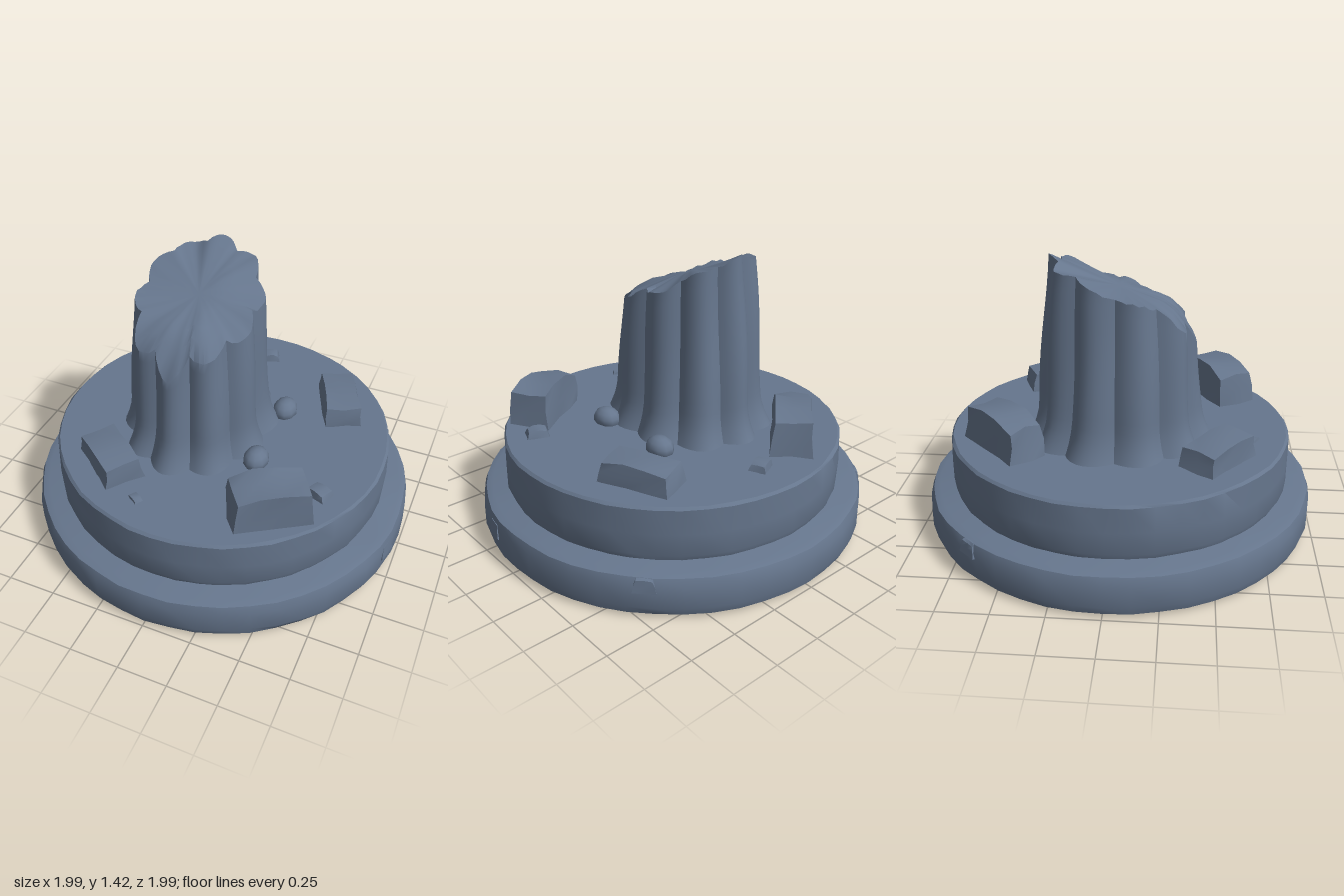
import * as THREE from 'three';
import { mergeVertices, toCreasedNormals } from 'three/addons/utils/BufferGeometryUtils.js';

const stone = new THREE.MeshStandardMaterial({ color: 0x66768d });
stone.name = 'slate stone';

// Repeatable value in -1..1 for a point, so shared corners move together
const hash = (x, y, z) => {
  const s = Math.sin(x * 12.99 + y * 78.23 + z * 37.72) * 4375.85;
  return (s - Math.floor(s)) * 2 - 1;
};

function addMesh(parent, name, geometry, crease = 0.6) {
  const mesh = new THREE.Mesh(toCreasedNormals(geometry, crease), stone);
  mesh.name = name;
  parent.add(mesh);
  return mesh;
}

// Worn round slab: lathe with a slightly chipped outer edge
function slab(profile, seed) {
  const geo = new THREE.LatheGeometry(profile.map(([r, y]) => new THREE.Vector2(r, y)), 48);
  geo.deleteAttribute('uv');
  geo.deleteAttribute('normal');
  const g = mergeVertices(geo, 1e-4);
  const p = g.attributes.position;
  for (let i = 0; i < p.count; i++) {
    const x = p.getX(i), y = p.getY(i), z = p.getZ(i);
    if (Math.hypot(x, z) < 0.8) continue;
    const k = 1 - 0.004 * (1 + hash(x, y + seed, z));
    p.setXYZ(i, x * k, y, z * k);
  }
  return g;
}

// Slanting broken top of the column
const breakHeight = (x, z) =>
  1.29 - 0.36 * z - 0.3 * Math.max(0, x + 0.05) - 4.3 * Math.max(0, z - 0.2) ** 2;

// Column radius by height, flaring at the foot
function columnRadius(y) {
  const flare = Math.max(0, 0.66 - y);
  return 0.358 - 0.075 * (y - 0.6) + 1.3 * flare * flare;
}

function column() {
  const flutes = 10, n = flutes * 8, rows = 14, capRings = 5;
  const cx = -0.125, cz = 0.01, pos = [], idx = [];
  const point = (a, y) => {
    const lobe = Math.abs(Math.sin(a * flutes / 2));
    const r = columnRadius(y) * (1 - 0.13 * (1 - lobe)) + 0.006 * Math.sin(3 * a + 7 * y);
    return [cx + r * Math.cos(a), cz + r * 1.16 * Math.sin(a)];
  };
  const rim = [];
  for (let j = 0; j < n; j++) {
    const a = j / n * Math.PI * 2;
    let y = 1.25;
    for (let k = 0; k < 3; k++) y = breakHeight(...point(a, y));
    rim.push(y + 0.012 * Math.sin(a * 7 + 1) + 0.008 * hash(j, 1, 2));
  }
  // Fluted side
  for (let i = 0; i <= rows; i++) {
    for (let j = 0; j < n; j++) {
      const a = j / n * Math.PI * 2;
      const y = 0.48 + (rim[j] - 0.48) * (i / rows) ** 1.25;
      const [x, z] = point(a, y);
      pos.push(x, y, z);
    }
  }
  // Broken face, as shrinking rings
  for (let i = 1; i <= capRings; i++) {
    const s = 1 - i / capRings;
    for (let j = 0; j < n; j++) {
      const a = j / n * Math.PI * 2;
      const [ex, ez] = point(a, rim[j]);
      const x = cx + (ex - cx) * s, z = cz + (ez - cz) * s;
      const y = breakHeight(x, z) + (rim[j] - breakHeight(ex, ez)) * s * s - 0.015 * (1 - s);
      pos.push(x, y, z);
    }
  }
  for (let i = 0; i < rows + capRings; i++) {
    for (let j = 0; j < n; j++) {
      const a = i * n + j, b = i * n + (j + 1) % n;
      idx.push(a, a + n, b);
      if (i < rows + capRings - 1) idx.push(b, a + n, b + n);
    }
  }
  const g = new THREE.BufferGeometry();
  g.setAttribute('position', new THREE.Float32BufferAttribute(pos, 3));
  g.setIndex(idx);
  return g;
}

// Rough block: narrowed, jittered box resting on the plinth
function rock(w, h, d, seed, taper = 0.88) {
  const g = new THREE.BoxGeometry(1, 1, 1, 3, 2, 2);
  const p = g.attributes.position;
  for (let i = 0; i < p.count; i++) {
    const x = p.getX(i), y = p.getY(i), z = p.getZ(i);
    const up = y + 0.5, k = 1 - (1 - taper) * up;
    const corner = Math.abs(x) > 0.45 && up > 0.9 ? 0.18 : 0;
    p.setXYZ(i,
      w * k * (x + 0.03 * hash(x + seed, y, z)),
      h * (up - corner * (0.6 + 0.5 * hash(x, seed, 3)) + 0.06 * up * hash(x, y, z + seed)),
      d * k * (z + 0.04 * hash(x, y + seed, z)));
  }
  return g;
}

export function createModel() {
  const group = new THREE.Group();
  group.name = 'ruined column';

  // Stepped round plinth
  addMesh(group, 'lowerPlinth', slab([[0, 0], [0.95, 0], [0.985, 0.02], [0.998, 0.06],
    [0.998, 0.17], [0.985, 0.21], [0.95, 0.222], [0, 0.222]], 1));
  addMesh(group, 'upperPlinth', slab([[0, 0.21], [0.855, 0.21], [0.872, 0.25],
    [0.874, 0.36], [0.872, 0.485], [0.86, 0.497], [0, 0.497]], 2));

  // Broken fluted shaft
  addMesh(group, 'flutedColumn', column(), 0.7);

  // Fallen blocks: x, z, width, height, depth, turn
  [
    [-0.325, -0.54, 0.43, 0.2, 0.2, 0.75],
    [0.45, 0.52, 0.39, 0.2, 0.22, 0.55],
    [0.515, -0.39, 0.37, 0.12, 0.19, -1.15],
    [-0.4, 0.5, 0.35, 0.13, 0.2, -0.66],
  ].forEach(([x, z, w, h, d, turn], i) => {
    const block = addMesh(group, 'fallenBlock' + (i + 1), rock(w, h, d, i + 1), 0.7);
    block.position.set(x, 0.485, z);
    block.rotation.y = turn;
  });

  // Small chips: x, z, width, height, depth, turn
  [
    [0.015, -0.66, 0.11, 0.05, 0.09, 0.4],
    [0.63, 0.31, 0.12, 0.05, 0.09, -0.4],
    [-0.17, 0.68, 0.08, 0.025, 0.05, -0.6],
  ].forEach(([x, z, w, h, d, turn], i) => {
    const chip = addMesh(group, 'chip' + (i + 1), rock(w, h, d, i + 7, 0.75), 0.5);
    chip.position.set(x, 0.485, z);
    chip.rotation.y = turn;
  });

  // Rounded rubble against the foot of the shaft
  for (const z of [-0.22, 0.21]) {
    const pebble = addMesh(group, 'footPebble', new THREE.SphereGeometry(1, 10, 7), 0.9);
    pebble.position.set(0.265, 0.515, z);
    pebble.scale.set(0.065, 0.06, 0.08);
  }

  // Chips standing out from the lower rim: angle and height
  [[-0.74, 0.17], [-2.43, 0.17], [0.2, 0.14]].forEach(([a, y], i) => {
    const lump = addMesh(group, 'rimLump' + (i + 1), rock(0.05, 0.07, 0.11, i + 12, 0.7), 0.7);
    lump.position.set(0.975 * Math.cos(a), y - 0.03, 0.975 * Math.sin(a));
    lump.rotation.y = -a;
  });
  return group;
}
